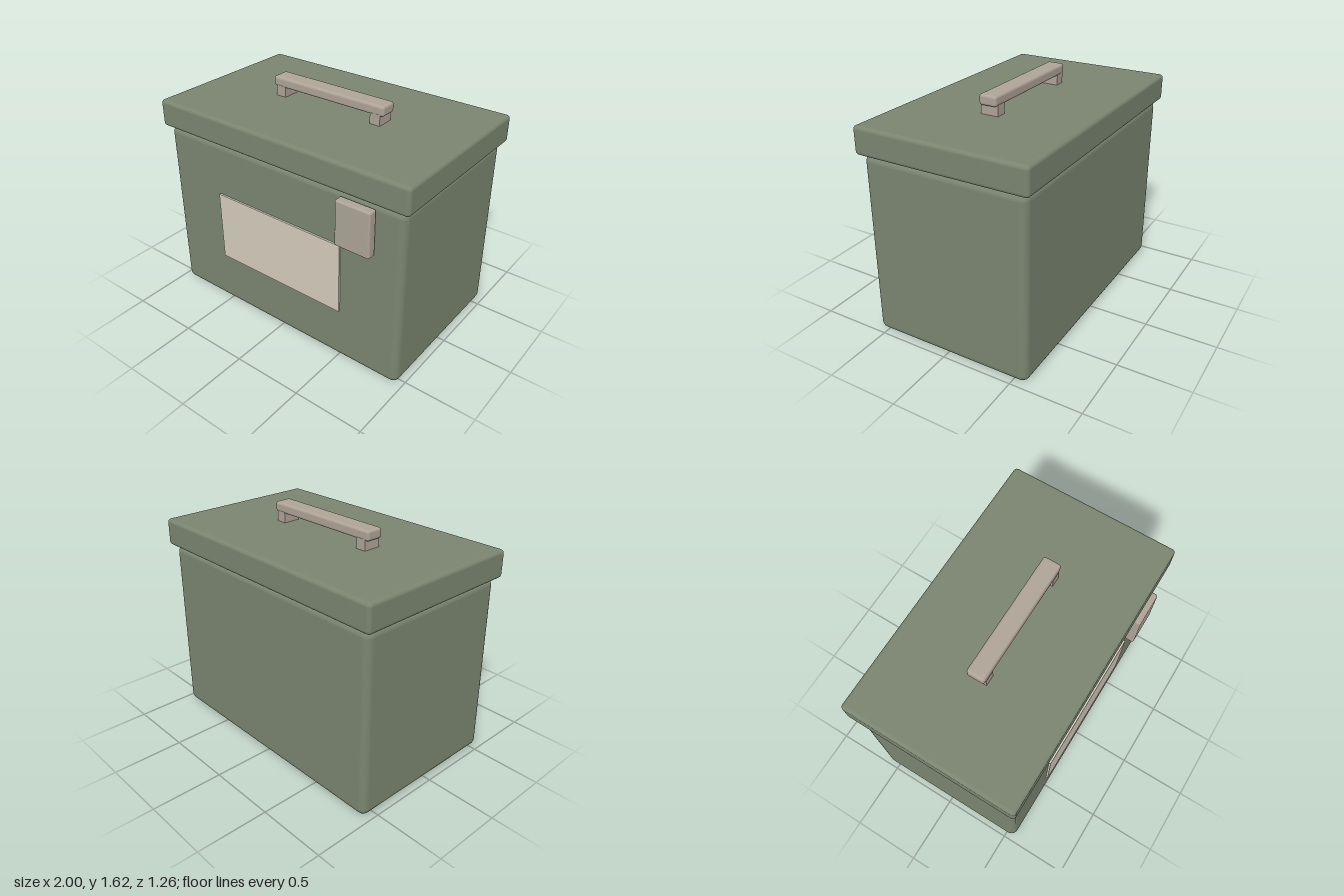
import * as THREE from 'three';
import { RoundedBoxGeometry } from 'three/addons/geometries/RoundedBoxGeometry.js';

const material = (color) => new THREE.MeshStandardMaterial({ color });

// Box given by its [min, max] extents; radius 0 leaves the edges sharp.
function block(name, [x0, x1], [y0, y1], [z0, z1], radius, mat) {
  const size = [x1 - x0, y1 - y0, z1 - z0];
  const geometry = radius
    ? new RoundedBoxGeometry(...size, 3, radius)
    : new THREE.BoxGeometry(...size);
  const mesh = new THREE.Mesh(geometry, mat);
  mesh.name = name;
  mesh.position.set((x0 + x1) / 2, (y0 + y1) / 2, (z0 + z1) / 2);
  return mesh;
}

export function createModel() {
  const model = new THREE.Group();
  model.name = 'storageBox';
  const green = material(0x7a8570);
  const metal = material(0xaea396);
  const paper = material(0xd3cabb);

  // Container and overhanging lid
  model.add(block('body', [-0.965, 0.965], [0, 1.293], [-0.597, 0.565], 0.052, green));
  model.add(block('lid', [-1, 1], [1.293, 1.485], [-0.63, 0.595], 0.026, green));

  // Front label and offset latch
  model.add(block('label', [-0.515, 0.515], [0.393, 0.905], [0.55, 0.578], 0, paper));
  model.add(block('latch', [0.515, 0.77], [0.94, 1.26], [0.566, 0.63], 0.013, metal));

  // Carrying handle: grip on two posts
  const handle = new THREE.Group();
  handle.name = 'handle';
  const depth = [-0.08, 0.046];
  handle.add(block('handleGrip', [-0.45, 0.45], [1.548, 1.62], depth, 0.019, metal));
  for (const [name, x] of [['rightPost', -0.388], ['leftPost', 0.388]]) {
    handle.add(block(name, [x - 0.038, x + 0.038], [1.47, 1.56], depth, 0, metal));
  }
  model.add(handle);
  return model;
}
